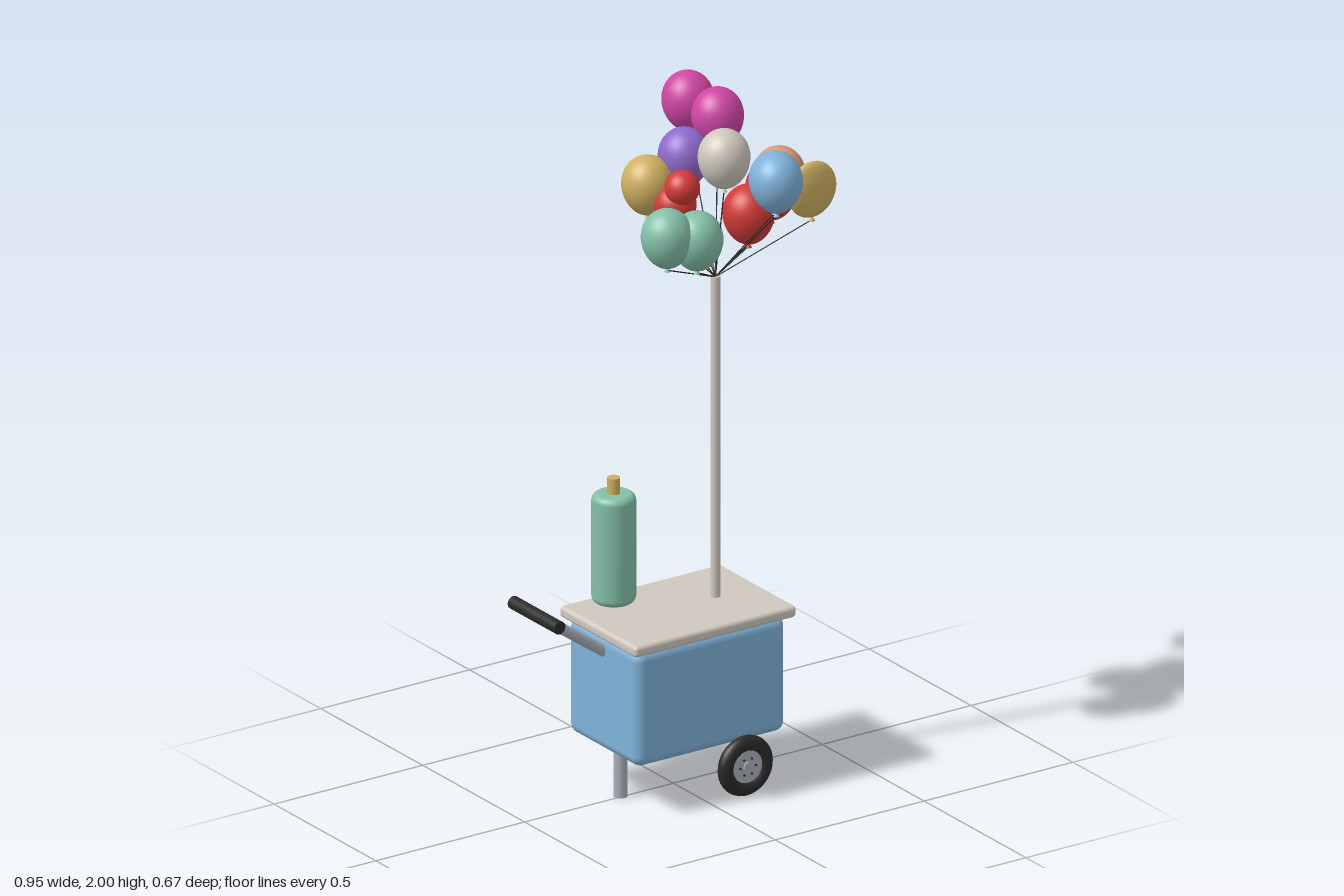
import * as THREE from 'three';
import { RoundedBoxGeometry } from 'three/addons/geometries/RoundedBoxGeometry.js';

const palette = {
  blue: 0x7fb2d9, cream: 0xcfc8be, gold: 0xcfb060, green: 0x84c0a8, black: 0x2a2a2a,
  steel: 0xaab0ba, red: 0xd13a36, magenta: 0xcf46a4, purple: 0x8e6acc, peach: 0xd99a78,
};
const mats = {};
for (const [name, color] of Object.entries(palette)) {
  mats[name] = new THREE.MeshStandardMaterial({ color });
  mats[name].name = name;
}

const Z = -0.007; // centre line of the cart
const V = (x, y, z) => new THREE.Vector3(x, y, z);

function add(parent, name, geometry, mat, x = 0, y = 0, z = 0) {
  const mesh = new THREE.Mesh(geometry, mats[mat]);
  mesh.name = name;
  mesh.position.set(x, y, z);
  parent.add(mesh);
  return mesh;
}

// Cylinder between two points
function rod(parent, name, a, b, r, mat, sides = 20) {
  const d = b.clone().sub(a);
  const mesh = add(parent, name, new THREE.CylinderGeometry(r, r, d.length(), sides), mat);
  mesh.position.copy(a).addScaledVector(d, 0.5);
  mesh.quaternion.setFromUnitVectors(V(0, 1, 0), d.normalize());
  return mesh;
}

// Egg: a sphere that narrows towards its lower end
function eggGeometry(r, h) {
  const geo = new THREE.SphereGeometry(1, 32, 24);
  const p = geo.attributes.position;
  for (let i = 0; i < p.count; i++) {
    const y = p.getY(i);
    const k = r * (1 + 0.07 * y - 0.02 * y * y);
    p.setXYZ(i, p.getX(i) * k, y * h, p.getZ(i) * k);
  }
  geo.computeVertexNormals();
  return geo;
}

function wheel(z) {
  const g = new THREE.Group();
  g.name = 'wheel';
  g.position.set(0.114, 0.09, z);
  add(g, 'tyre', new THREE.TorusGeometry(0.066, 0.023, 16, 40), 'black').scale.z = 0.92;
  add(g, 'hub', new THREE.CylinderGeometry(0.048, 0.048, 0.026, 32), 'steel').rotation.x = Math.PI / 2;
  add(g, 'hubCap', new THREE.CylinderGeometry(0.015, 0.015, 0.034, 20), 'steel').rotation.x = Math.PI / 2;
  for (let i = 0; i < 6; i++) {
    const a = (i * Math.PI) / 3;
    add(g, 'bolt', new THREE.CylinderGeometry(0.0035, 0.0035, 0.03, 8), 'black',
      0.026 * Math.cos(a), 0.026 * Math.sin(a)).rotation.x = Math.PI / 2;
  }
  return g;
}

function buildCart(parent) {
  const g = new THREE.Group();
  g.name = 'cart';
  parent.add(g);
  add(g, 'body', new RoundedBoxGeometry(0.505, 0.345, 0.345, 4, 0.03), 'blue', 0.0175, 0.322, Z);
  add(g, 'counter', new RoundedBoxGeometry(0.543, 0.034, 0.377, 4, 0.012), 'cream', 0.02, 0.508, Z);
  add(g, 'sidePanel', new RoundedBoxGeometry(0.03, 0.19, 0.255, 2, 0.004), 'gold', 0.271, 0.32, Z);
  rod(g, 'leg', V(-0.173, 0, Z), V(-0.173, 0.17, Z), 0.02, 'steel');
  g.add(wheel(Z + 0.193), wheel(Z - 0.193));
  // Push handle
  rod(g, 'handleBar', V(-0.2, 0.427, Z), V(-0.455, 0.607, Z), 0.016, 'steel');
  rod(g, 'handleGrip', V(-0.455, 0.607, Z - 0.114), V(-0.455, 0.607, Z + 0.114), 0.019, 'black');
  rod(g, 'pole', V(0.146, 0.51, Z), V(0.146, 1.485, Z), 0.0135, 'cream');
}

function buildTank(parent) {
  const g = new THREE.Group();
  g.name = 'gasTank';
  g.position.set(-0.108, 0.525, -0.135);
  parent.add(g);
  // Rounded profile at both ends
  const pts = [new THREE.Vector2(0, 0)];
  const R = 0.0625, H = 0.325, c = 0.02;
  for (const [cy, start] of [[c, -Math.PI / 2], [H - c, 0]]) {
    for (let i = 0; i <= 6; i++) {
      const a = start + (i / 6) * (Math.PI / 2);
      pts.push(new THREE.Vector2(R - c + c * Math.cos(a), cy + c * Math.sin(a)));
    }
  }
  pts.push(new THREE.Vector2(0, H));
  add(g, 'tank', new THREE.LatheGeometry(pts, 40), 'green');
  add(g, 'valve', new THREE.CylinderGeometry(0.018, 0.018, 0.055, 20), 'gold', 0, 0.3445, 0);
}

function buildBalloons(parent) {
  const g = new THREE.Group();
  g.name = 'balloons';
  parent.add(g);
  const tie = V(0.146, 1.482, Z);
  const knotGeo = new THREE.ConeGeometry(0.009, 0.016, 12);
  const egg = eggGeometry(0.0735, 0.087);

  const tether = (mat, x, bottom, z) => {
    add(g, 'knot', knotGeo, mat, x, bottom - 0.004, z);
    rod(g, 'string', tie, V(x, bottom - 0.008, z), 0.0017, 'black', 6);
  };

  // colour, x, y, z of each round balloon
  const list = [
    ['magenta', 0.227, 1.906, -0.261], ['magenta', 0.217, 1.913, -0.1],
    ['red', 0.398, 1.652, -0.1], ['red', 0.26, 1.642, -0.01],
    ['peach', 0.332, 1.755, 0.034], ['blue', 0.229, 1.808, 0.164],
    ['blue', 0.171, 1.846, 0.257], ['cream', 0.06, 1.913, 0.161],
    ['green', -0.038, 1.65, 0.025], ['green', 0.048, 1.63, 0.046],
    ['gold', 0.007, 1.745, -0.137], ['purple', 0.117, 1.81, -0.118],
  ];
  for (const [mat, x, y, z] of list) {
    add(g, 'balloon', egg, mat, x, y, z);
    tether(mat, x, y - 0.087, z);
  }

  // Flat foil balloon
  add(g, 'foilBalloon', new THREE.SphereGeometry(1, 32, 24), 'gold', 0.373, 1.74, 0.135)
    .scale.set(0.08, 0.083, 0.027);
  tether('gold', 0.373, 1.657, 0.135);

  // Small two-lobed balloon
  add(g, 'smallBalloonTop', new THREE.SphereGeometry(0.05, 28, 20), 'red', 0.042, 1.77, -0.018);
  add(g, 'smallBalloonBase', new THREE.SphereGeometry(0.06, 28, 20), 'red', 0.04, 1.71, -0.05);
  tether('red', 0.04, 1.65, -0.05);
}

export function createModel() {
  const model = new THREE.Group();
  model.name = 'balloonCart';
  buildCart(model);
  buildTank(model);
  buildBalloons(model);
  return model;
}
